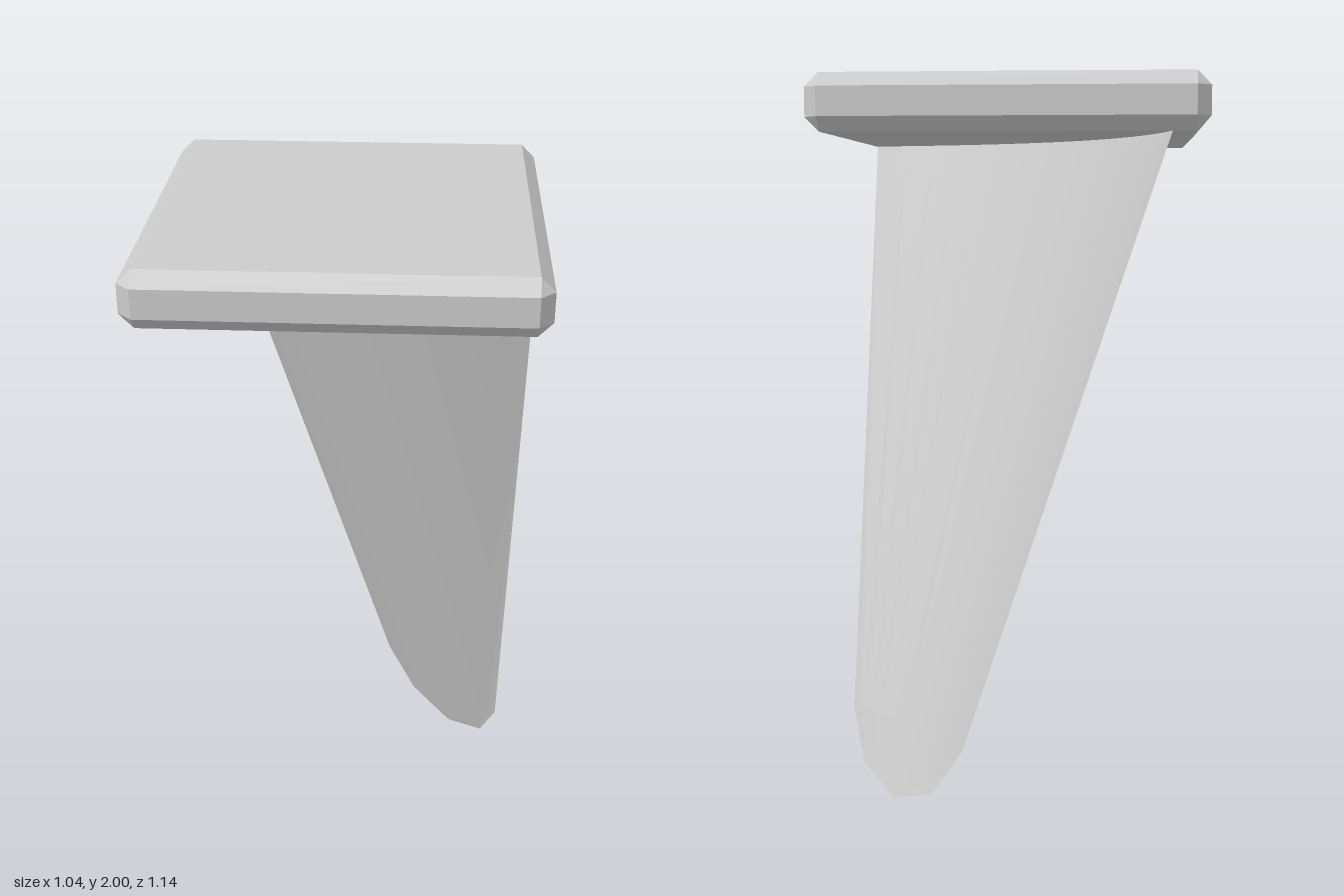
import * as THREE from 'three';
import { ConvexGeometry } from 'three/addons/geometries/ConvexGeometry.js';

// Box with every edge and corner chamfered
function chamferedBox(w, h, d, c) {
  const points = [];
  for (const sx of [-1, 1]) for (const sy of [-1, 1]) for (const sz of [-1, 1]) {
    const x = w / 2, y = h / 2, z = d / 2;
    points.push(
      new THREE.Vector3(sx * x, sy * (y - c), sz * (z - c)),
      new THREE.Vector3(sx * (x - c), sy * y, sz * (z - c)),
      new THREE.Vector3(sx * (x - c), sy * (y - c), sz * z));
  }
  return new ConvexGeometry(points);
}

// Thin scooped blade: flat rim leaning under the cap, hollow facing the back corner
function bladeGeometry() {
  const rows = [[1.855, 0.452], [0.2, 0.18], [0.06, 0.115], [0, 0]]; // height, half width
  const cols = 16;
  const geo = new THREE.PlaneGeometry(1, 1, cols, rows.length - 1);
  const pos = geo.attributes.position;
  for (let i = 0; i < pos.count; i++) {
    const [y, half] = rows[Math.floor(i / (cols + 1))];
    const u = (i % (cols + 1)) / cols * 2 - 1;
    const scoop = 0.155 * (y / 1.85) * (1 - u * u);
    const lean = 0.36 - 0.166 * y - scoop;
    pos.setXYZ(i, -0.025 + lean + u * half, y, -0.025 - lean + u * half);
  }
  geo.computeVertexNormals();
  return geo;
}

export function createModel() {
  const group = new THREE.Group();

  const cap = new THREE.Mesh(
    chamferedBox(1.04, 0.15, 1.14, 0.037),
    new THREE.MeshStandardMaterial({ color: 0xcccccc, flatShading: true }));
  cap.name = 'cap';
  cap.position.y = 1.925;

  const blade = new THREE.Mesh(
    bladeGeometry(),
    new THREE.MeshStandardMaterial({ color: 0xcccccc, side: THREE.DoubleSide }));
  blade.name = 'blade';

  group.add(cap, blade);
  return group;
}
